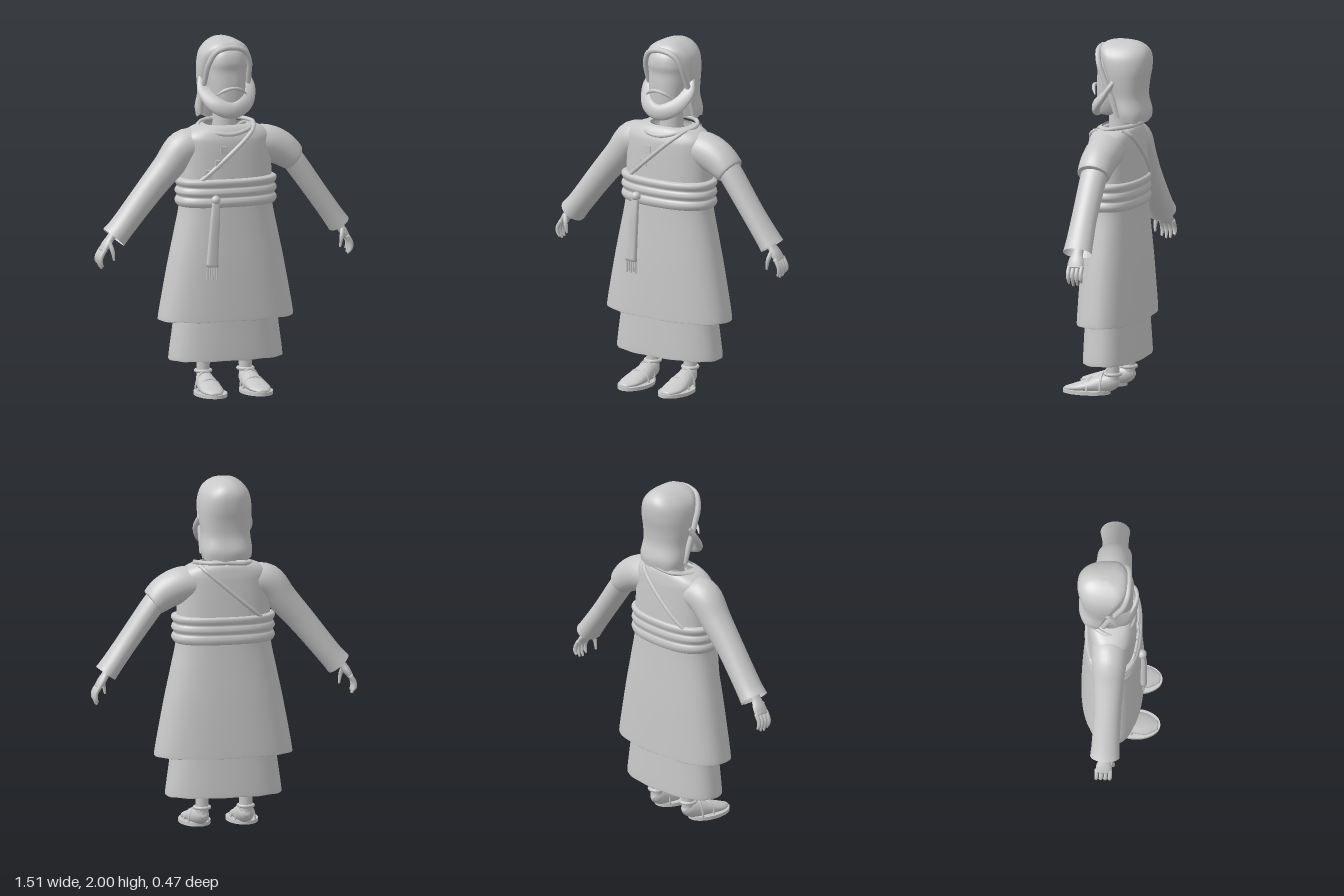
import * as THREE from 'three';

const V = (x, y, z) => new THREE.Vector3(x, y, z);
const grey = new THREE.MeshStandardMaterial({ color: 0xc8c8c8, side: THREE.DoubleSide });
grey.name = 'plain grey';

// Smooth Catmull-Rom value of a table of rows at a fractional row index
function sample(rows, t) {
  const n = rows.length - 1, i = Math.min(Math.floor(t), n - 1), f = t - i;
  const [a, b, c, d] = [-1, 0, 1, 2].map(k => rows[Math.max(0, Math.min(n, i + k))]);
  return b.map((_, k) => b[k] + 0.5 * f * (c[k] - a[k]
    + f * (2 * a[k] - 5 * b[k] + 4 * c[k] - d[k] + f * (3 * (b[k] - c[k]) + d[k] - a[k]))));
}

// Skin rings of points, each ring closed
function skin(rings) {
  const m = rings[0].length, pos = [], idx = [];
  rings.forEach(r => r.forEach(p => pos.push(p.x, p.y, p.z)));
  for (let i = 0; i < rings.length - 1; i++) {
    for (let j = 0; j < m; j++) {
      const a = i * m + j, b = i * m + (j + 1) % m;
      idx.push(a, b, a + m, b, b + m, a + m);
    }
  }
  const g = new THREE.BufferGeometry();
  g.setAttribute('position', new THREE.Float32BufferAttribute(pos, 3));
  g.setIndex(idx);
  g.computeVertexNormals();
  return g;
}

const pow = (v, e) => Math.sign(v) * Math.abs(v) ** (2 / e);

// Upright form from rows [y, half width, front z, back z]; mid places the widest line
function upright(rows, { mid = 0.5, e = 2.4, wave = 0, waves = 9, steps = 5, sides = 64 } = {}) {
  const rings = [];
  for (let k = 0; k <= (rows.length - 1) * steps; k++) {
    const [y, rx, zf, zb] = sample(rows, k / steps);
    const cz = zf + (zb - zf) * mid, fade = Math.max(0, 1 - k / (steps * 2));
    rings.push(Array.from({ length: sides }, (_, j) => {
      const t = j / sides * Math.PI * 2, c = pow(Math.cos(t), e);
      return V(rx * pow(Math.sin(t), e), y + wave * fade * Math.cos(waves * t + 1),
        cz + c * (c > 0 ? zf - cz : cz - zb));
    }));
  }
  return skin(rings);
}

// Sweep along rows [x, y, z, radius across, radius along ref]
function sweep(rows, { ref = V(0, 0, 1), cap = true, e = 2, steps = 5, sides = 20 } = {}) {
  const n = (rows.length - 1) * steps;
  const at = k => sample(rows, Math.max(0, Math.min(n, k)) / steps);
  const ring = (k, s = 1) => {
    const [x, y, z, r1, r2] = at(k), p = at(k - 1), q = at(k + 1);
    const d = V(q[0] - p[0], q[1] - p[1], q[2] - p[2]).normalize();
    const v = ref.clone().addScaledVector(d, -ref.dot(d)).normalize();
    const u = v.clone().cross(d);
    return Array.from({ length: sides }, (_, j) => {
      const t = j / sides * Math.PI * 2;
      return V(x, y, z).addScaledVector(u, s * r1 * pow(Math.cos(t), e))
        .addScaledVector(v, s * r2 * pow(Math.sin(t), e));
    });
  };
  const rings = Array.from({ length: n + 1 }, (_, k) => ring(k));
  if (cap) { rings.unshift(ring(0, 0)); rings.push(ring(n, 0)); }
  return skin(rings);
}

const tube = (pts, r, closed = false) => new THREE.TubeGeometry(
  new THREE.CatmullRomCurve3(pts.map(p => V(...p)), closed), 64, r, 8, closed);
const flip = (rows, s) => rows.map(([x, ...rest]) => [x * s, ...rest]);

const robeRows = [
  [0.43, 0.365, 0.125, -0.195], [0.42, 0.385, 0.138, -0.208], [0.45, 0.388, 0.14, -0.21],
  [0.72, 0.338, 0.13, -0.2], [0.9, 0.3, 0.12, -0.19], [1.06, 0.268, 0.112, -0.182],
  [1.2, 0.265, 0.107, -0.18], [1.4, 0.258, 0.1, -0.172], [1.46, 0.248, 0.088, -0.166],
  [1.5, 0.19, 0.066, -0.157], [1.515, 0.12, 0.045, -0.14]];

// Depth of the robe surface at (x, y), front (1) or back (-1)
function robeZ(x, y, side) {
  let t = 2;
  while (t < 9.9 && sample(robeRows, t)[0] < y) t += 0.02;
  const [, rx, zf, zb] = sample(robeRows, t);
  const k = Math.max(0, 1 - Math.min(1, Math.abs(x) / rx) ** 2.4) ** (1 / 2.4);
  return (zf + zb) / 2 + side * k * (zf - zb) / 2;
}

export function createModel() {
  const model = new THREE.Group();
  const add = (name, geo, x = 0, y = 0, z = 0, parent = model) => {
    const m = new THREE.Mesh(geo, grey);
    m.name = name;
    m.position.set(x, y, z);
    parent.add(m);
    return m;
  };

  // Clothes
  add('robe', upright(robeRows, { wave: 0.006 }));
  add('underSkirt', upright([
    [0.2, 0.315, 0.1, -0.175], [0.19, 0.325, 0.112, -0.187], [0.215, 0.328, 0.115, -0.19],
    [0.41, 0.302, 0.11, -0.182], [0.6, 0.285, 0.105, -0.175]], { wave: 0.006, waves: 11 }));
  const folds = [[1.058, 0.262, 0.1, -0.17]];
  for (let i = 0; i < 3; i++) {
    for (const [dy, b] of [[0.006, 0], [0.028, 0.012], [0.047, 0.008]]) {
      folds.push([1.058 + i * 0.054 + dy, 0.28 + b, 0.118 + b * 0.8, -0.185 - b * 0.6]);
    }
  }
  folds.push([1.222, 0.262, 0.1, -0.17]);
  add('sash', upright(folds, { steps: 4 }));

  // Sash tail with fringe
  add('sashKnot', new THREE.SphereGeometry(0.026, 16, 12), -0.115, 1.11, 0.132);
  add('sashTail', sweep([[-0.115, 1.11, 0.135, 0.02, 0.012], [-0.122, 1, 0.142, 0.027, 0.016],
    [-0.132, 0.86, 0.142, 0.03, 0.017], [-0.14, 0.735, 0.143, 0.034, 0.018]], { e: 3 }));
  for (let i = 0; i < 5; i++) {
    add('fringe', new THREE.CylinderGeometry(0.005, 0.006, 0.08 - (i % 2) * 0.015, 6),
      -0.168 + i * 0.014, 0.705, 0.143);
  }

  // Diagonal trim across chest and back, with a stepped edge in front
  for (const side of [1, -1]) {
    const pts = [];
    for (let i = 0; i <= 12; i++) {
      const x = 0.15 - i / 12 * 0.35, y = 1.505 - i / 12 * 0.305;
      pts.push([x, y, robeZ(x, y, side) + side * 0.004]);
    }
    add('robeTrim', tube(pts, 0.012));
  }
  for (const [x, y] of [[-0.055, 1.385], [-0.085, 1.305], [-0.145, 1.25]]) {
    add('steppedEdge', new THREE.BoxGeometry(0.04, 0.045, 0.009), x, y, robeZ(x, y, 1) + 0.003);
  }
  add('collar', tube([[0, 1.468, 0.085], [0.1, 1.488, 0.06], [0.165, 1.513, -0.045],
    [0.1, 1.525, -0.145], [0, 1.525, -0.165], [-0.1, 1.515, -0.145],
    [-0.155, 1.5, -0.045], [-0.1, 1.478, 0.06]], 0.012, true));

  // Sleeves: short over long on the left, one long on the right
  add('leftShortSleeve', sweep([[0.14, 1.4, -0.045, 0.09, 0.1], [0.24, 1.39, -0.045, 0.1, 0.105],
    [0.33, 1.35, -0.043, 0.096, 0.1], [0.398, 1.297, -0.043, 0.078, 0.094],
    [0.392, 1.302, -0.043, 0.066, 0.08]], { cap: false, sides: 32 }));
  add('leftLongSleeve', sweep([[0.33, 1.36, -0.045, 0.06, 0.074], [0.4, 1.285, -0.045, 0.064, 0.076],
    [0.54, 1.09, -0.045, 0.06, 0.073], [0.63, 0.965, -0.05, 0.06, 0.078],
    [0.675, 0.903, -0.052, 0.063, 0.083]], { cap: false, sides: 32 }));
  add('rightSleeve', sweep([[-0.14, 1.4, -0.045, 0.09, 0.1], [-0.245, 1.385, -0.045, 0.1, 0.1],
    [-0.34, 1.28, -0.045, 0.085, 0.088], [-0.46, 1.14, -0.045, 0.076, 0.077],
    [-0.6, 0.965, -0.05, 0.07, 0.078], [-0.655, 0.9, -0.052, 0.074, 0.083]],
    { cap: false, sides: 32 }));

  for (const s of [1, -1]) {
    // Hand
    const hand = new THREE.Group();
    hand.name = s > 0 ? 'leftHand' : 'rightHand';
    model.add(hand);
    add('palm', sweep(flip([[0.63, 0.96, -0.052, 0.024, 0.032], [0.672, 0.9, -0.052, 0.022, 0.032],
      [0.7, 0.86, -0.055, 0.022, 0.044], [0.722, 0.825, -0.057, 0.016, 0.044]], s)), 0, 0, 0, hand);
    for (let i = 0; i < 4; i++) {
      const z = -0.02 - i * 0.025, tip = [0.74, 0.728, 0.732, 0.75][i];
      add('finger', sweep(flip([[0.714, 0.838, z, 0.012, 0.012], [0.737, 0.8, z, 0.012, 0.012],
        [0.74, 0.768, z - 0.002, 0.011, 0.011], [0.728, tip, z - 0.003, 0.006, 0.006]], s),
        { sides: 10, steps: 3 }), 0, 0, 0, hand);
    }
    add('thumb', sweep(flip([[0.69, 0.875, -0.025, 0.014, 0.014], [0.677, 0.83, -0.006, 0.012, 0.012],
      [0.668, 0.775, -0.006, 0.006, 0.006]], s), { sides: 10 }), 0, 0, 0, hand);

    // Leg and shoe
    const leg = new THREE.Group();
    leg.name = s > 0 ? 'leftLeg' : 'rightLeg';
    model.add(leg);
    add('shin', new THREE.CylinderGeometry(0.044, 0.036, 0.42, 24), s * 0.125, 0.29, -0.055, leg);
    add('shoe', sweep(flip([[0.14, 0.022, 0.222, 0.025, 0.01], [0.14, 0.03, 0.16, 0.062, 0.024],
      [0.135, 0.043, 0.08, 0.064, 0.038], [0.13, 0.058, 0, 0.053, 0.053],
      [0.125, 0.075, -0.06, 0.04, 0.045], [0.125, 0.085, -0.088, 0.018, 0.022]], s),
      { ref: V(0, 1, 0) }), 0, 0, 0, leg);
    const sole = add('sole', new THREE.CylinderGeometry(1, 1, 0.02, 40), s * 0.135, 0.01, 0.0975, leg);
    sole.scale.set(0.088, 1, 0.1375);
    const ring = add('ankleStrap', new THREE.TorusGeometry(0.042, 0.01, 8, 32),
      s * 0.125, 0.115, -0.055, leg);
    ring.rotation.x = Math.PI / 2;
    for (const [z, w, h] of [[0.075, 0.067, 0.07], [0, 0.057, 0.1]]) {
      const strap = add('shoeStrap', new THREE.TorusGeometry(1, 0.1, 6, 24, Math.PI), s * 0.133, 0.015, z, leg);
      strap.scale.set(w, h, 0.07);
    }
  }

  // Head
  add('neck', new THREE.CylinderGeometry(0.062, 0.07, 0.22, 32), 0, 1.54, -0.055);
  add('face', upright([[1.565, 0.02, 0.05, 0], [1.58, 0.06, 0.07, -0.08], [1.65, 0.098, 0.077, -0.15],
    [1.75, 0.112, 0.077, -0.17], [1.82, 0.116, 0.073, -0.17], [1.87, 0.115, 0.081, -0.17],
    [1.925, 0.095, 0.068, -0.15], [1.965, 0.04, 0.03, -0.1]]));
  add('hair', upright([[1.55, 0.138, -0.085, -0.22], [1.6, 0.145, -0.068, -0.226],
    [1.68, 0.138, -0.045, -0.208], [1.76, 0.146, -0.015, -0.214], [1.84, 0.149, 0.015, -0.23],
    [1.91, 0.138, 0.042, -0.233], [1.955, 0.108, 0.05, -0.215], [1.985, 0.065, 0.022, -0.175],
    [1.998, 0.025, -0.04, -0.125], [2.0, 0.001, -0.08, -0.082]],
    { mid: 0.3, wave: 0.006, waves: 7 }));
  const half = [[-0.13, 1.57, -0.085], [-0.132, 1.68, -0.05], [-0.128, 1.78, -0.008],
    [-0.118, 1.87, 0.03], [-0.08, 1.935, 0.05]];
  add('hairline', tube([...half, [0, 1.955, 0.055], ...flip(half, -1).reverse()], 0.016));
  const whiskers = [[-0.138, 1.78, -0.065, 0.012, 0.014], [-0.132, 1.71, -0.015, 0.04, 0.018],
    [-0.085, 1.635, 0.055, 0.046, 0.024]];
  add('beard', sweep([...whiskers, [0, 1.602, 0.078, 0.046, 0.028], ...flip(whiskers, -1).reverse()]));
  const tips = [[-0.09, 1.69, 0.065, 0.003, 0.003], [-0.05, 1.718, 0.088, 0.01, 0.01]];
  add('moustache', sweep([...tips, [0, 1.732, 0.1, 0.009, 0.01], ...flip(tips, -1).reverse()],
    { sides: 10 }));
  return model;
}
